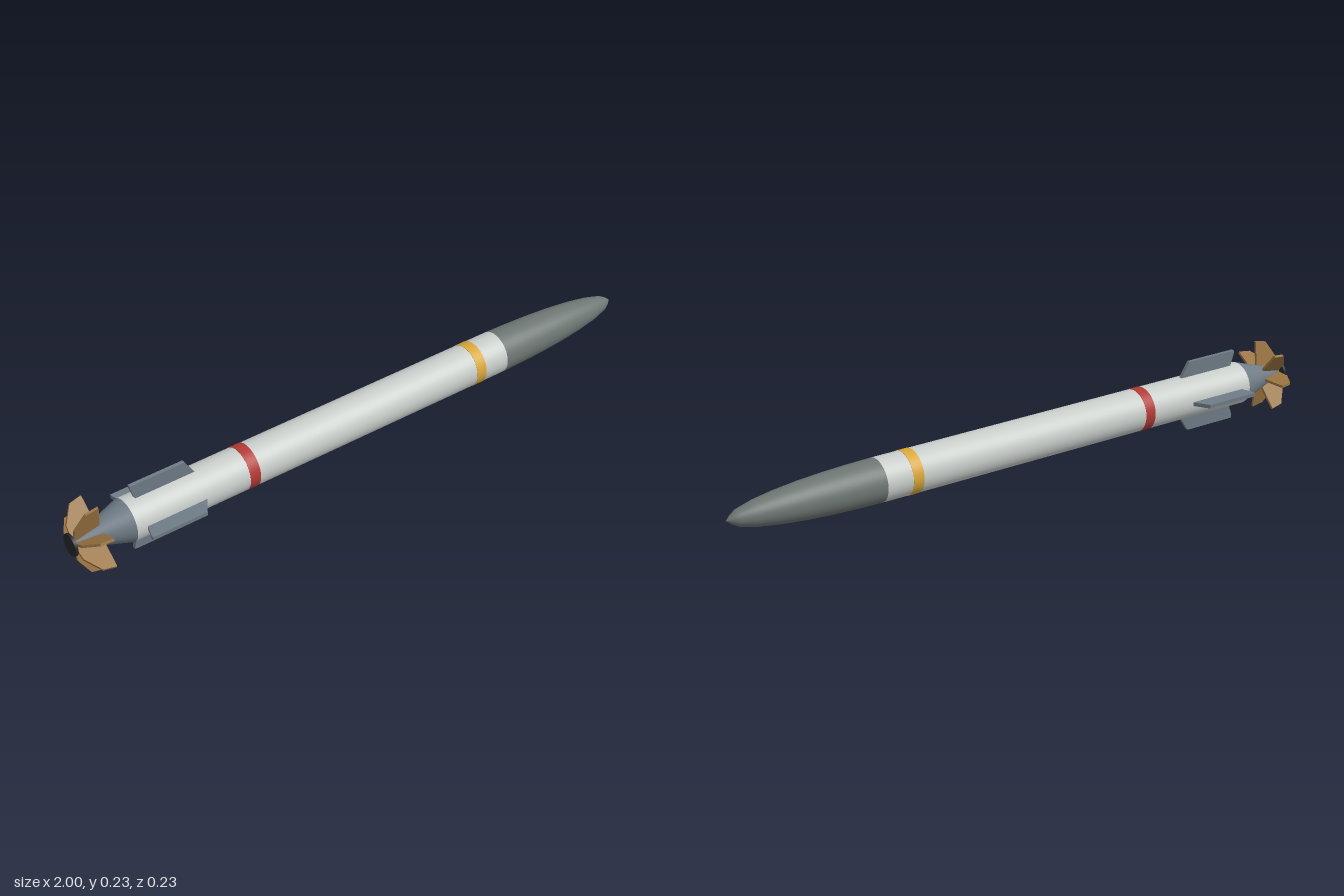
import * as THREE from 'three';

const AXIS_Y = 0.115;
const R = 0.067;

const paint = (color) => new THREE.MeshStandardMaterial({ color });

// Surface of revolution around the x axis from [x, radius] points, listed tail to nose
function turned(name, profile, color) {
  const points = profile.map(([x, r]) => new THREE.Vector2(r, x));
  const geometry = new THREE.LatheGeometry(points, 48);
  geometry.rotateZ(-Math.PI / 2);
  const mesh = new THREE.Mesh(geometry, paint(color));
  mesh.name = name;
  return mesh;
}

// Flat plates from an [x, radius] outline, spread evenly around the x axis
function plates(name, outline, thickness, count, startAngle, color) {
  const shape = new THREE.Shape(outline.map(([x, r]) => new THREE.Vector2(x, r)));
  const geometry = new THREE.ExtrudeGeometry(shape, { depth: thickness, bevelEnabled: false });
  geometry.translate(0, 0, -thickness / 2);
  const material = paint(color);
  const group = new THREE.Group();
  group.name = name + 's';
  for (let i = 0; i < count; i++) {
    const plate = new THREE.Mesh(geometry, material);
    plate.name = name;
    plate.rotation.x = startAngle + (i * 2 * Math.PI) / count;
    group.add(plate);
  }
  return group;
}

export function createModel() {
  const torpedo = new THREE.Group();
  torpedo.name = 'torpedo';
  const steel = 0x6f7b86;

  // Hull
  torpedo.add(turned('body', [[-0.82, 0], [-0.82, R], [-0.82, R], [0.52, R]], 0xc9cecb));
  torpedo.add(turned('nose', [
    [0.52, R], [0.6, 0.0655], [0.68, 0.0625], [0.76, 0.0575], [0.84, 0.0495],
    [0.91, 0.039], [0.965, 0.025], [0.985, 0.013], [1, 0],
  ], 0x6d7673));
  torpedo.add(turned('tailCone', [[-0.992, 0.012], [-0.82, R]], steel));

  // Painted bands
  const band = (x0, x1) => [[x0, R], [x0, R + 0.001], [x0, R + 0.001], [x1, R + 0.001], [x1, R + 0.001], [x1, R]];
  torpedo.add(turned('redBand', band(-0.44, -0.405), 0xb23a35));
  torpedo.add(turned('yellowBand', band(0.4, 0.435), 0xd9a83a));

  // Four stabilising fins
  torpedo.add(plates('fin', [
    [-0.785, 0.06], [-0.59, 0.06], [-0.59, 0.068], [-0.62, 0.115], [-0.8, 0.115], [-0.8, 0.105],
  ], 0.012, 4, 0, steel));

  // Seven-bladed propeller, one blade pointing to -z
  torpedo.add(plates('propellerBlade', [
    [-0.99, 0.008], [-0.908, 0.034], [-0.911, 0.07], [-0.915, 0.115], [-0.955, 0.107], [-0.988, 0.055],
  ], 0.008, 7, -Math.PI / 2, 0x9a7442));

  // Dark disc closing the tail
  const cap = new THREE.Mesh(new THREE.CylinderGeometry(0.035, 0.035, 0.008, 32), paint(0x22262a));
  cap.name = 'endCap';
  cap.rotation.z = Math.PI / 2;
  cap.position.x = -0.996;
  torpedo.add(cap);

  torpedo.position.y = AXIS_Y;
  const model = new THREE.Group();
  model.add(torpedo);
  return model;
}
